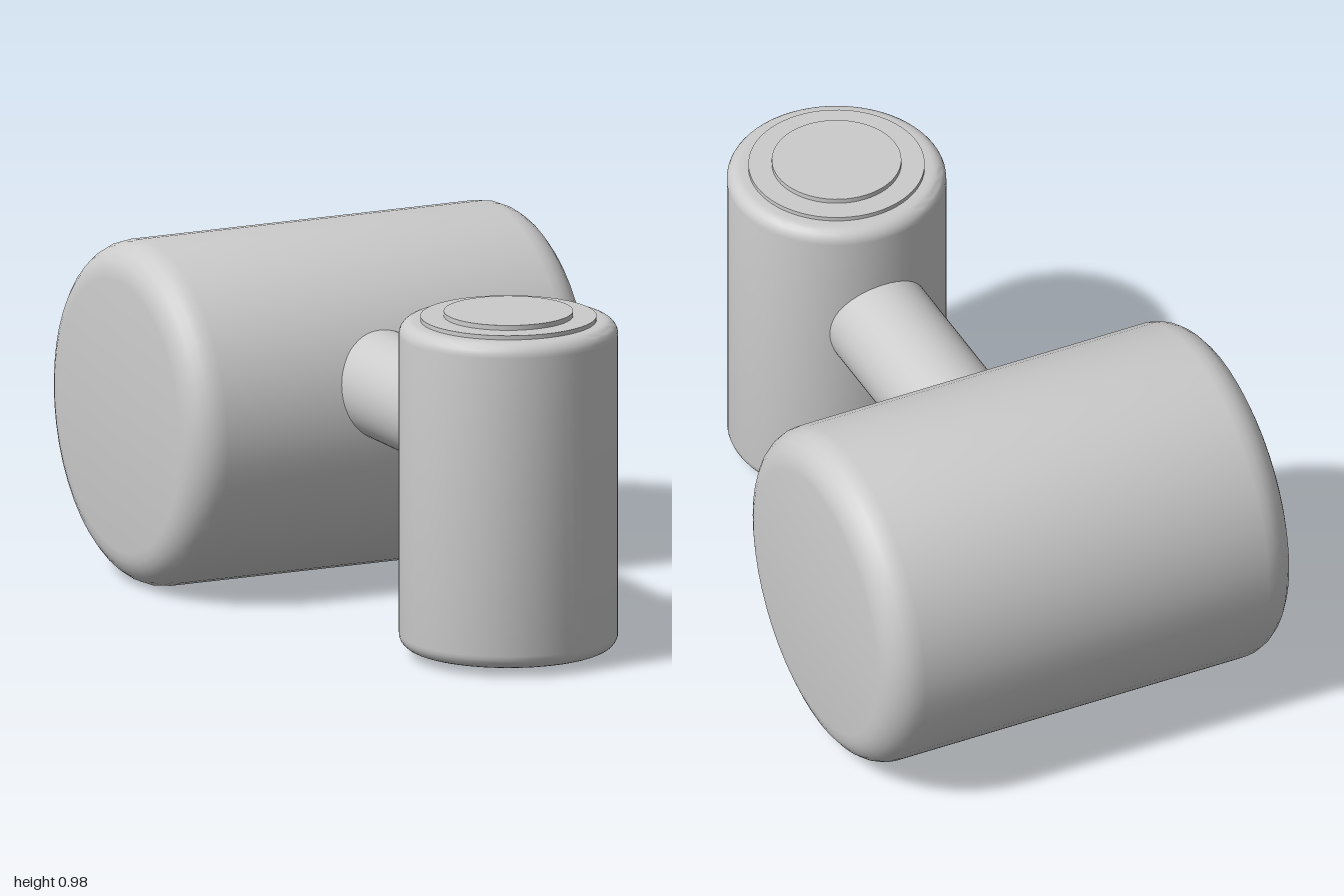
import * as THREE from 'three';
import { toCreasedNormals } from 'three/addons/utils/BufferGeometryUtils.js';

const material = new THREE.MeshStandardMaterial({ color: 0xcccccc });

// Quarter-round profile points around (cx, cy)
function arc(cx, cy, r, start, steps = 6) {
  return Array.from({ length: steps + 1 }, (_, i) => {
    const a = start + (i / steps) * Math.PI / 2;
    return new THREE.Vector2(cx + r * Math.cos(a), cy + r * Math.sin(a));
  });
}

// Solid of revolution with rounded rims; extra points can continue the top
function roundedCylinder(radius, y0, y1, bevel, segments, top = []) {
  const profile = [
    new THREE.Vector2(0, y0),
    ...arc(radius - bevel, y0 + bevel, bevel, -Math.PI / 2),
    ...arc(radius - bevel, y1 - bevel, bevel, 0),
    ...top.map(([x, y]) => new THREE.Vector2(x, y)),
    new THREE.Vector2(0, top.length ? top[top.length - 1][1] : y1),
  ];
  return toCreasedNormals(new THREE.LatheGeometry(profile, segments), 0.6);
}

export function createModel() {
  const group = new THREE.Group();
  const add = (name, geometry, x, y, z) => {
    const mesh = new THREE.Mesh(geometry, material);
    mesh.name = name;
    mesh.position.set(x, y, z);
    group.add(mesh);
    return mesh;
  };

  // Large drum lying across the back
  add('drum', roundedCylinder(0.485, -0.63, 0.63, 0.1, 48), 0, 0.488, -0.515)
    .rotation.z = -Math.PI / 2;

  // Upright canister with a two-step lid
  const lid = [[0.245, 0.955], [0.245, 0.967], [0.18, 0.967], [0.18, 0.981]];
  add('canister', roundedCylinder(0.305, 0.025, 0.955, 0.04, 64, lid), -0.02, 0, 0.695);

  // Neck joining the two bodies
  add('neck', new THREE.CylinderGeometry(0.15, 0.15, 0.8, 48), -0.02, 0.605, 0.15)
    .rotation.x = Math.PI / 2;

  return group;
}
